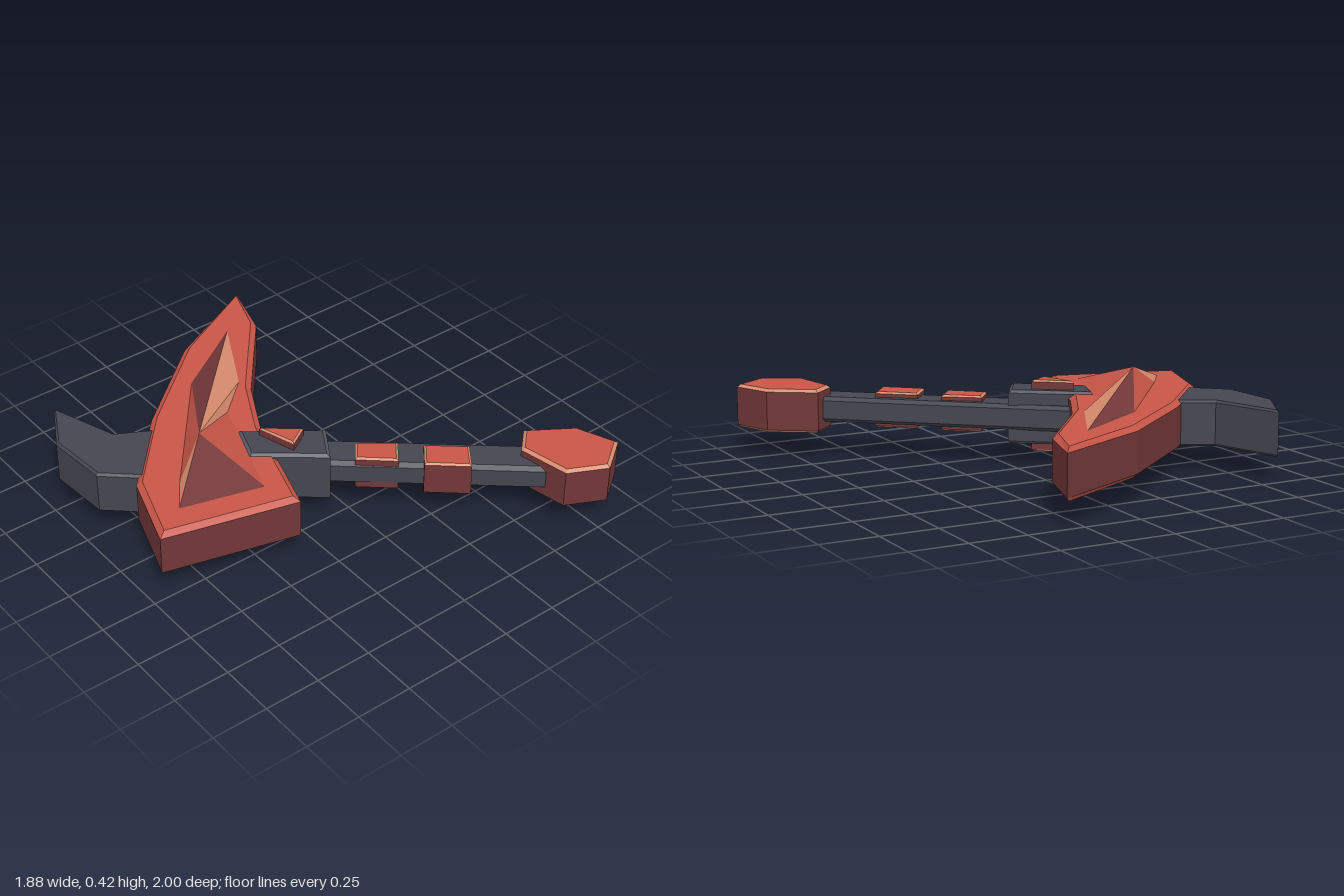
import * as THREE from 'three';

const MID = 0.21; // height of the flat symmetry plane

const paint = (name, color) => new THREE.MeshStandardMaterial({ name, color, flatShading: true });
const red = paint('brick red', 0xc85648);
const maroon = paint('dark maroon', 0x723738);
const tan = paint('warm tan', 0xd88d6d);
const dark = paint('dark slate', 0x44464f);
const slate = paint('edge slate', 0x585c67);

// Colour sets for a slab: [flat faces, bevels, walls]
const BLADE = [red, red, maroon];
const TRIM = [red, tan, maroon];
const METAL = [dark, dark, dark];
const EDGED_METAL = [dark, slate, dark];

// Bevelled slab from a plan outline of [x, z] points, centred on the symmetry plane
function slab(name, outline, halfHeight, bevel, materials) {
  const shape = new THREE.Shape(outline.map(([x, z]) => new THREE.Vector2(x, -z)));
  const rise = bevel * 0.8;
  const geo = new THREE.ExtrudeGeometry(shape, {
    depth: 2 * (halfHeight - rise),
    bevelEnabled: true,
    bevelSegments: 1,
    bevelSize: bevel,
    bevelOffset: -bevel,
    bevelThickness: rise,
  });
  geo.translate(0, 0, -(halfHeight - rise));
  geo.rotateX(-Math.PI / 2);

  // Each outline edge has three quads in a row: bevel, wall, bevel
  const [caps, sides] = geo.groups;
  geo.clearGroups();
  geo.addGroup(caps.start, caps.count, 0);
  for (let q = 0; q < sides.count / 6; q++) {
    geo.addGroup(sides.start + q * 6, 6, q % 3 === 1 ? 2 : 1);
  }
  const mesh = new THREE.Mesh(geo, materials);
  mesh.name = name;
  mesh.position.y = MID;
  return mesh;
}

// Faceted point rising from a base outline to one apex; side = 1 up, -1 down
function facetedPeak(name, base, facetColours, apex, baseHeight, apexHeight, side) {
  const pos = [];
  const geo = new THREE.BufferGeometry();
  base.forEach(([x, z], i) => {
    const [nx, nz] = base[(i + 1) % base.length];
    const a = [x, side * baseHeight, z];
    const b = [nx, side * baseHeight, nz];
    pos.push(apex[0], side * apexHeight, apex[1], ...(side > 0 ? [...a, ...b] : [...b, ...a]));
    geo.addGroup(i * 3, 3, i);
  });
  geo.setAttribute('position', new THREE.Float32BufferAttribute(pos, 3));
  geo.computeVertexNormals();
  const mesh = new THREE.Mesh(geo, facetColours);
  mesh.name = name;
  mesh.position.y = MID;
  return mesh;
}

export function createModel() {
  const model = new THREE.Group();
  model.name = 'battleAxe';

  // Blade
  model.add(slab('blade', [
    [0.33, -1], [-0.12, -0.78], [-0.53, -0.44], [-0.83, -0.11], [-0.945, 0.23],
    [-0.36, 0.385], [-0.2, -0.1], [-0.06, -0.36], [0.25, -0.74],
  ], 0.108, 0.025, BLADE));

  // Faceted peaks on both blade faces
  const peakBase = [
    [0.11, -0.77], [-0.25, -0.54], [-0.69, 0], [-0.79, 0.14],
    [-0.43, 0.24], [-0.25, -0.27], [-0.08, -0.42],
  ];
  const facets = [maroon, red, tan, maroon, red, tan, tan];
  model.add(facetedPeak('upperPeak', peakBase, facets, [-0.51, -0.11], 0.107, 0.21, 1));
  model.add(facetedPeak('lowerPeak', peakBase, facets, [-0.51, -0.11], 0.107, 0.21, -1));

  // Back spike
  model.add(slab('backSpike', [
    [-0.82, -0.76], [-0.945, -0.54], [-0.925, -0.26], [-0.78, -0.13],
    [-0.55, -0.1], [-0.5, -0.33], [-0.59, -0.39], [-0.71, -0.455],
  ], 0.1, 0.012, METAL));

  // Handle: a bar along a slanted axis, t along it and s across it
  const at = (t, s) => [0.76 * t + 0.65 * s, 0.65 * t - 0.76 * s];
  model.add(slab('handle', [
    at(-0.64, -0.055), at(-0.64, -0.226), at(1.02, -0.226), at(1.02, -0.055),
  ], 0.056, 0.02, METAL));

  // Collar where the handle meets the blade, with a triangular stud
  model.add(slab('collar', [
    [-0.3, -0.13], [-0.365, 0.04], [-0.1, 0.25], [0, 0.09],
  ], 0.118, 0.015, EDGED_METAL));
  model.add(slab('triangleStud', [[-0.25, -0.045], [-0.2, 0.13], [-0.103, 0.07]], 0.158, 0.01, TRIM));

  // Grip pads
  model.add(slab('gripPadInner', [[0.07, 0.2], [0, 0.29], [0.137, 0.41], [0.215, 0.31]], 0.08, 0.01, TRIM));
  model.add(slab('gripPadOuter', [[0.29, 0.39], [0.205, 0.495], [0.355, 0.625], [0.437, 0.515]], 0.08, 0.01, TRIM));

  // Pommel
  model.add(slab('pommel', [
    [0.68, 0.585], [0.58, 0.68], [0.62, 0.91], [0.79, 0.995], [0.94, 0.89], [0.87, 0.71],
  ], 0.097, 0.015, TRIM));

  return model;
}
